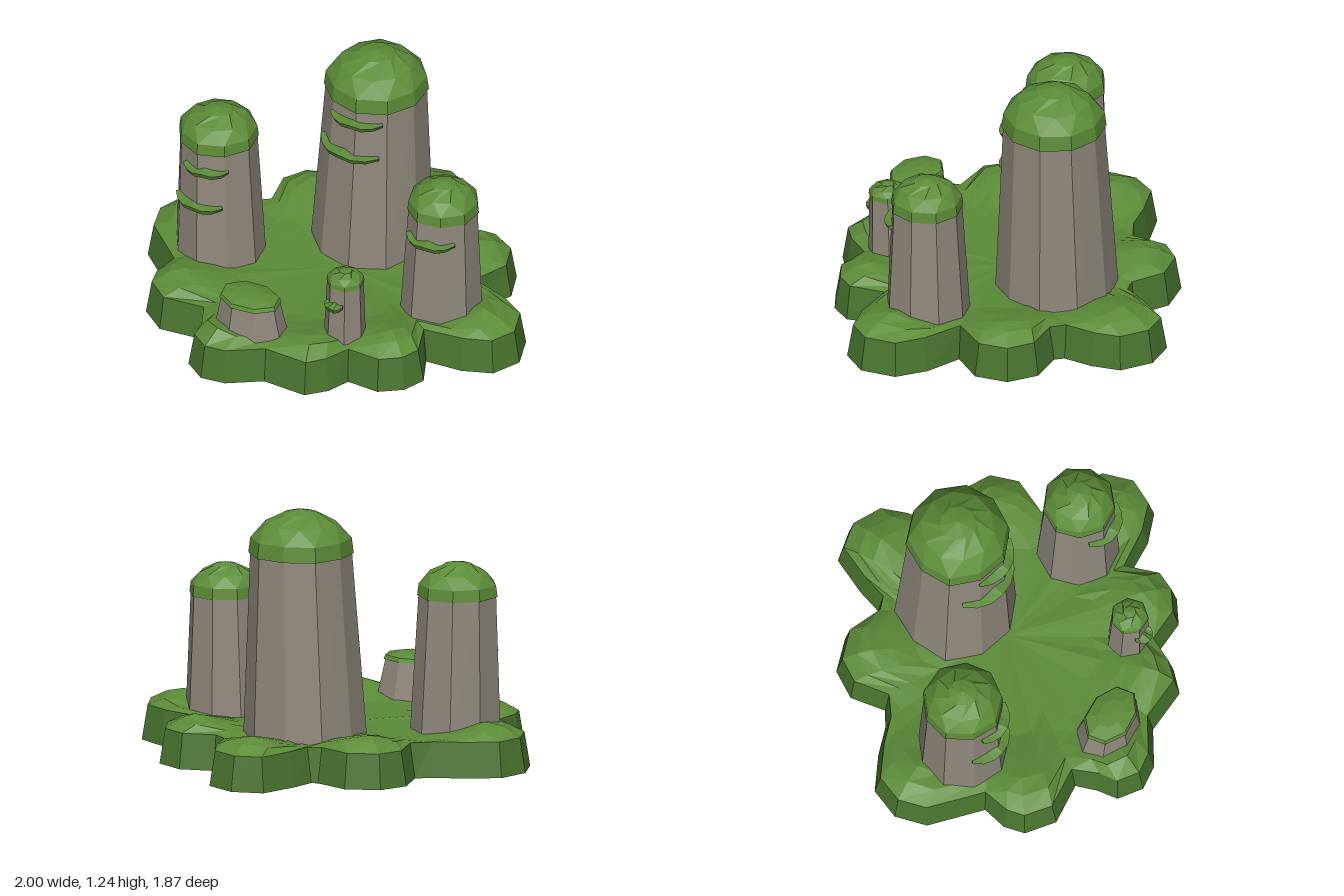
import * as THREE from 'three';

const mat = (color) => new THREE.MeshStandardMaterial({ color, flatShading: true, side: THREE.DoubleSide });
const grass = mat(0x5c8c38), turf = mat(0x4a7530), stone = mat(0x8f887c);
const V = (x, y, z) => new THREE.Vector3(x, y, z);

// Skin a list of equally long closed rings of points.
function loft(rings, name, material) {
  const pos = [];
  for (let k = 0; k + 1 < rings.length; k++) {
    const a = rings[k], b = rings[k + 1], n = a.length;
    for (let i = 0; i < n; i++) {
      const j = (i + 1) % n;
      for (const p of [a[i], b[i], a[j], a[j], b[i], b[j]]) pos.push(p.x, p.y, p.z);
    }
  }
  const g = new THREE.BufferGeometry();
  g.setAttribute('position', new THREE.Float32BufferAttribute(pos, 3));
  g.computeVertexNormals();
  const m = new THREE.Mesh(g, material);
  m.name = name;
  return m;
}

// Slightly uneven ring around (cx, cz).
function ring(cx, y, cz, rx, rz, n, turn = 0, wobble = 0) {
  return Array.from({ length: n }, (_, i) => {
    const a = ((i + turn) / n) * Math.PI * 2;
    const w = 1 + wobble * Math.sin(i * 2.7 + n);
    return V(cx + Math.cos(a) * rx * w, y, cz + Math.sin(a) * rz * w);
  });
}

// Scalloped shoreline, x and z pairs, clockwise from the back
const outline = [
  0.05, -0.94, 0.20, -0.87, 0.26, -0.74, 0.29, -0.60, 0.33, -0.57, 0.49, -0.61, 0.63, -0.54, 0.69, -0.39,
  0.62, -0.23, 0.80, -0.19, 0.94, -0.11, 1.00, 0.05, 0.94, 0.19, 0.80, 0.25, 0.62, 0.27, 0.69, 0.41,
  0.65, 0.52, 0.55, 0.60, 0.39, 0.60, 0.35, 0.71, 0.27, 0.80, 0.05, 0.80, -0.10, 0.91, -0.22, 0.93,
  -0.33, 0.86, -0.35, 0.76, -0.39, 0.66, -0.59, 0.69, -0.72, 0.60, -0.75, 0.50, -0.73, 0.38, -0.95, 0.20,
  -1.00, 0.05, -0.95, -0.10, -0.79, -0.19, -0.66, -0.24, -0.59, -0.29, -0.63, -0.46, -0.56, -0.59, -0.40, -0.65,
  -0.23, -0.59, -0.20, -0.60, -0.17, -0.72, -0.10, -0.90];

// Crests of the mounds, one per lobe
const crests = [[0.05, -0.74], [0.49, -0.43], [0.8, 0.03], [0.52, 0.42], [0.22, 0.66],
  [-0.21, 0.82], [-0.57, 0.5], [-0.82, 0.05], [-0.42, -0.47]];

function groundHeight(x, z) {
  const d = Math.min(...crests.map(([cx, cz]) => Math.hypot(x - cx, z - cz)));
  return 0.16 + 0.075 * Math.max(0, 1 - d / 0.28);
}

function island() {
  const g = new THREE.Group();
  g.name = 'island';
  const foot = [];
  for (let i = 0; i < outline.length; i += 2) foot.push(V(outline[i], 0, outline[i + 1]));
  const n = foot.length;
  // Top edge drawn in along the averaged normals
  const rim = foot.map((p, i) => {
    const t = foot[(i + 1) % n].clone().sub(foot[(i + n - 1) % n]).normalize();
    return V(p.x - t.z * 0.028, 0.168, p.z + t.x * 0.028);
  });
  const inner = [0.91, 0.82, 0.7, 0.56].map((k) =>
    rim.map((p) => V(p.x * k, groundHeight(p.x * k, p.z * k), p.z * k)));
  const middle = rim.map(() => V(0, 0.155, 0));
  g.add(loft([foot, rim], 'islandWall', turf), loft([rim, ...inner, middle], 'islandGround', grass));
  return g;
}

// Thin mossy crescent hugging the front of a pillar
function ledge(cx, y, cz, r, x0, x1) {
  const a0 = Math.asin(Math.max(-0.95, (x0 - cx) / (r + 0.02)));
  const a1 = Math.asin(Math.min(0.95, (x1 - cx) / (r + 0.02)));
  const steps = 6, sections = [];
  for (let i = 0; i <= steps; i++) {
    const a = a0 + ((a1 - a0) * i) / steps;
    const bulge = Math.sin((Math.PI * i) / steps);
    const out = r + 0.012 + 0.03 * bulge, h = 0.012 + 0.006 * bulge;
    const tilt = 0.006 * Math.cos(i * 2.1);
    sections.push([[r - 0.035, -h], [out - 0.012, -h], [out, h * 0.5], [r - 0.035, h]].map(([q, dy]) =>
      V(cx + Math.sin(a) * q, y + dy + tilt, cz + Math.cos(a) * q)));
  }
  const ends = [sections[0], sections[steps]].map((s) => {
    const c = s.reduce((sum, p) => sum.add(p), V(0, 0, 0)).divideScalar(4);
    return s.map(() => c);
  });
  return loft([ends[0], ...sections, ends[1]], 'mossLedge', grass);
}

function pillar({ name, base, top, rBase, rTop, y, peak, sides, turn, ledges }) {
  const g = new THREE.Group();
  g.name = name;
  const bottom = 0.09, h = peak - y;
  const [bx, bz] = base, [tx, tz] = top;
  g.add(loft([
    ring(bx, bottom, bz, rBase, rBase, sides, turn, 0.025),
    ring(tx, y + 0.02, tz, rTop, rTop, sides, turn, 0.02)], 'stoneColumn', stone));
  // Domed cap; every other ring turns half a step to make facets
  const cap = [[-0.01, 0.9, 0], [-0.01, 1.04, 0], [0.34, 1.0, 0], [0.68, 0.74, 0.5], [0.91, 0.36, 0], [1, 0, 0]];
  g.add(loft(cap.map(([t, k, s]) =>
    ring(tx, y + t * h, tz, rTop * k, rTop * k, sides, turn + s, 0.02)), 'mossCap', grass));
  for (const [ly, x0, x1] of ledges) {
    const t = (ly - bottom) / (y - bottom);
    const mix = THREE.MathUtils.lerp;
    g.add(ledge(mix(bx, tx, t), ly, mix(bz, tz, t), mix(rBase, rTop, t), x0, x1));
  }
  return g;
}

// Low oval stump with a flat mossy lid
function stump() {
  const g = new THREE.Group();
  g.name = 'stump';
  g.add(loft([
    ring(-0.11, 0.09, 0.655, 0.2, 0.15, 8, 0.3, 0.02),
    ring(-0.108, 0.35, 0.668, 0.145, 0.105, 8, 0.3, 0.02)], 'stumpStone', stone));
  g.add(loft([
    ring(-0.108, 0.335, 0.668, 0.13, 0.09, 8, 0.3),
    ring(-0.108, 0.338, 0.668, 0.158, 0.114, 8, 0.3, 0.02),
    ring(-0.108, 0.358, 0.668, 0.148, 0.106, 8, 0.3, 0.02),
    ring(-0.108, 0.374, 0.668, 0.08, 0.055, 8, 0.3),
    ring(-0.108, 0.378, 0.668, 0, 0, 8)], 'stumpMoss', grass));
  return g;
}

export function createModel() {
  const model = new THREE.Group();
  model.name = 'rockPillarIsland';
  model.add(island(), stump());
  const pillars = [
    { name: 'tallPillar', base: [-0.01, -0.29], top: [0.012, -0.29], rBase: 0.29, rTop: 0.236, y: 1.03, peak: 1.24,
      sides: 10, turn: 0.3, ledges: [[0.96, -0.12, 0.17], [0.775, -0.2, 0.16]] },
    { name: 'rightPillar', base: [-0.58, 0.15], top: [-0.59, 0.155], rBase: 0.22, rTop: 0.186, y: 0.8, peak: 0.96,
      sides: 9, turn: 0.25, ledges: [[0.705, -0.68, -0.44], [0.505, -0.735, -0.46]] },
    { name: 'leftPillar', base: [0.555, 0.02], top: [0.565, 0.02], rBase: 0.205, rTop: 0.168, y: 0.72, peak: 0.87,
      sides: 9, turn: 0.6, ledges: [[0.608, 0.44, 0.71]] },
    { name: 'smallPillar', base: [0.3, 0.48], top: [0.308, 0.487], rBase: 0.104, rTop: 0.088, y: 0.48, peak: 0.55,
      sides: 7, turn: 0.2, ledges: [[0.387, 0.24, 0.35]] },
  ];
  for (const p of pillars) model.add(pillar(p));
  return model;
}
